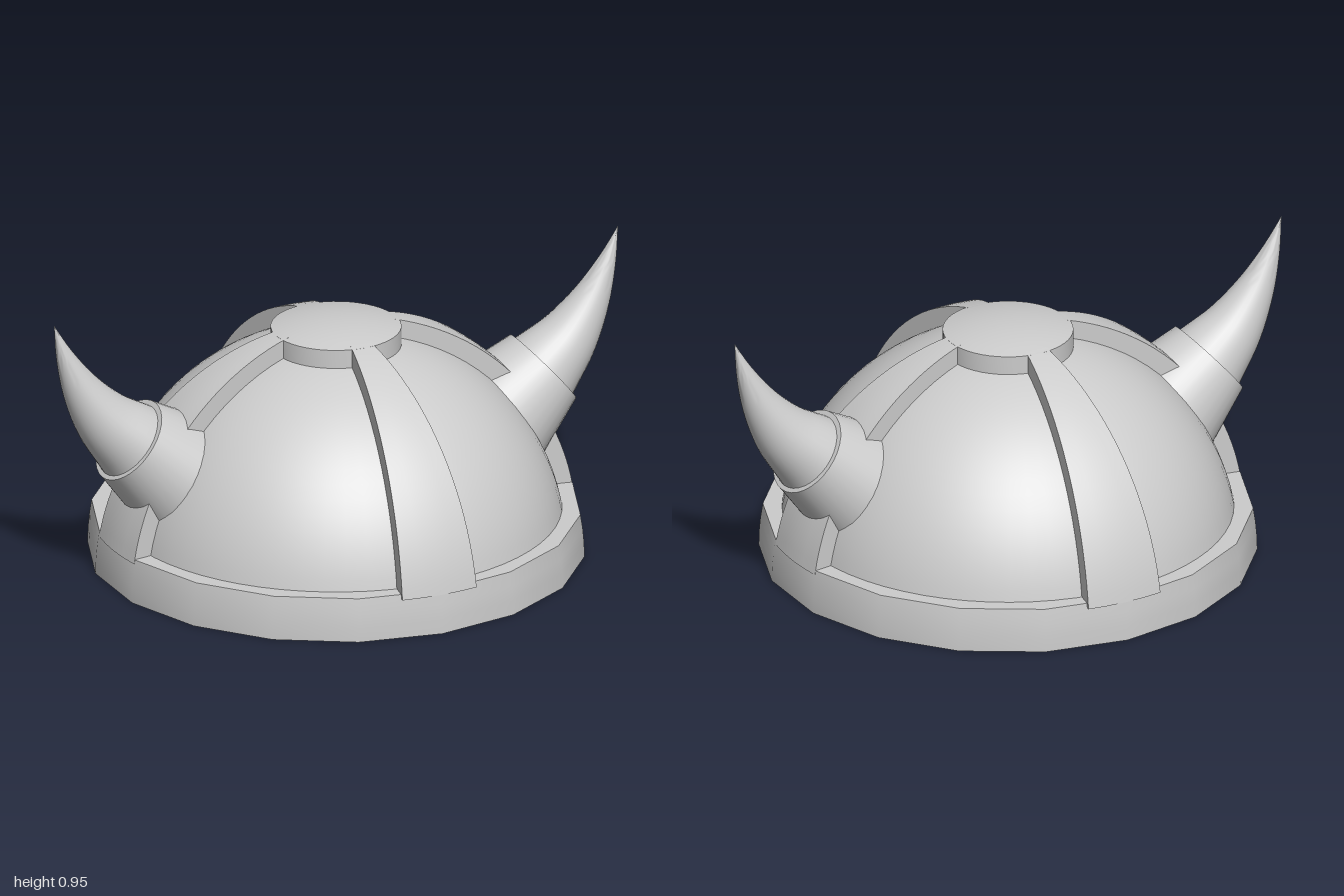
import * as THREE from 'three';
import { toCreasedNormals } from 'three/addons/utils/BufferGeometryUtils.js';

const OUTER = 0.8, INNER = 0.74, RIM = 0.145, CROWN = 0.21;
const grey = new THREE.MeshStandardMaterial({ color: 0xcccccc });

function addMesh(parent, name, geometry, crease = 0.6) {
  const mesh = new THREE.Mesh(toCreasedNormals(geometry, crease), grey);
  mesh.name = name;
  parent.add(mesh);
  return mesh;
}

// Skin a surface over rows of points, all rows the same length
function loft(rows) {
  const n = rows[0].length, index = [];
  for (let i = 0; i < rows.length - 1; i++) {
    for (let j = 0; j < n - 1; j++) {
      const a = i * n + j;
      index.push(a, a + n, a + 1, a + 1, a + n, a + n + 1);
    }
  }
  const geometry = new THREE.BufferGeometry().setFromPoints(rows.flat());
  geometry.setIndex(index);
  return geometry;
}

const lathe = (points, sides) =>
  new THREE.LatheGeometry(points.map(([x, y]) => new THREE.Vector2(x, y)), sides);

// Points on a circular arc between two heights
function arc(radius, y0, y1, steps) {
  const points = [];
  const a0 = Math.asin(y0 / radius), a1 = Math.asin(y1 / radius);
  for (let i = 0; i <= steps; i++) {
    const a = a0 + (a1 - a0) * i / steps;
    points.push([radius * Math.cos(a), radius * Math.sin(a)]);
  }
  return points;
}

// Raised band running from crown to rim, widening downward, with vertical walls
function bandGeometry() {
  const rows = [], steps = 24;
  const start = Math.asin(0.19 / OUTER), end = Math.acos(0.13 / OUTER);
  for (let i = 0; i <= steps; i++) {
    const phi = start + (end - start) * i / steps;
    const r = OUTER * Math.sin(phi), y = OUTER * Math.cos(phi);
    const half = 0.04 + (r - CROWN) * 0.158;
    const foot = Math.max(0.13, Math.sqrt(Math.max(0, INNER * INNER - r * r)) - 0.02);
    const at = (t, h) => new THREE.Vector3(t * half, h, Math.sqrt(r * r - t * t * half * half));
    rows.push([at(-1, foot), ...[-1, -0.5, 0, 0.5, 1].map(t => at(t, y)), at(1, foot)]);
  }
  return loft(rows);
}

// Horn swept along an upward curve, tapering to a point
function hornGeometry() {
  const path = new THREE.CatmullRomCurve3(
    [[0.72, 0.492], [0.82, 0.59], [0.9, 0.705], [0.96, 0.83], [1, 0.945]]
      .map(([x, y]) => new THREE.Vector3(x, y, 0)));
  const rows = [], steps = 20, sides = 32;
  for (let i = 0; i <= steps; i++) {
    const u = i / steps, c = path.getPointAt(u), t = path.getTangentAt(u);
    const r = Math.max(0.001, 0.135 * (1 - u));
    const row = [];
    for (let j = 0; j <= sides; j++) {
      const a = -(j % sides) / sides * Math.PI * 2;
      row.push(new THREE.Vector3(
        c.x - t.y * r * Math.cos(a), c.y + t.x * r * Math.cos(a), r * Math.sin(a)));
    }
    rows.push(row);
  }
  return loft(rows);
}

// Tapered collar from inside the dome to the horn base
function socketGeometry() {
  const from = new THREE.Vector3(0.55, 0.35, 0), to = new THREE.Vector3(0.735, 0.505, 0);
  const axis = to.clone().sub(from), length = axis.length();
  const geometry = new THREE.CylinderGeometry(0.147, 0.205, length, 32);
  geometry.applyQuaternion(new THREE.Quaternion().setFromUnitVectors(
    new THREE.Vector3(0, 1, 0), axis.normalize()));
  const mid = from.add(to).multiplyScalar(0.5);
  return geometry.translate(mid.x, mid.y, 0);
}

export function createModel() {
  const model = new THREE.Group();
  model.name = 'hornedHelmet';

  // Recessed dome panels
  addMesh(model, 'dome', lathe(arc(INNER, 0.13, INNER, 20), 64));

  // Faceted brow rim with flat underside and ledge
  addMesh(model, 'rim', lathe([[0, 0], ...arc(OUTER, 0, RIM, 3), [0.66, RIM]], 18));

  // Round crown plate joining the bands
  const crownEdge = Math.sqrt(OUTER * OUTER - CROWN * CROWN);
  addMesh(model, 'crown', lathe([[CROWN, 0.69], ...arc(OUTER, crownEdge, OUTER, 5)], 48));

  // Four bands at right angles
  for (let i = 0; i < 4; i++) {
    addMesh(model, 'band', bandGeometry()).rotation.y = i * Math.PI / 2;
  }

  // Matching horns on both sides
  for (const side of ['left', 'right']) {
    const horn = new THREE.Group();
    horn.name = side + 'Horn';
    addMesh(horn, 'hornSocket', socketGeometry());
    addMesh(horn, 'horn', hornGeometry());
    if (side === 'right') horn.rotation.y = Math.PI;
    model.add(horn);
  }
  return model;
}
